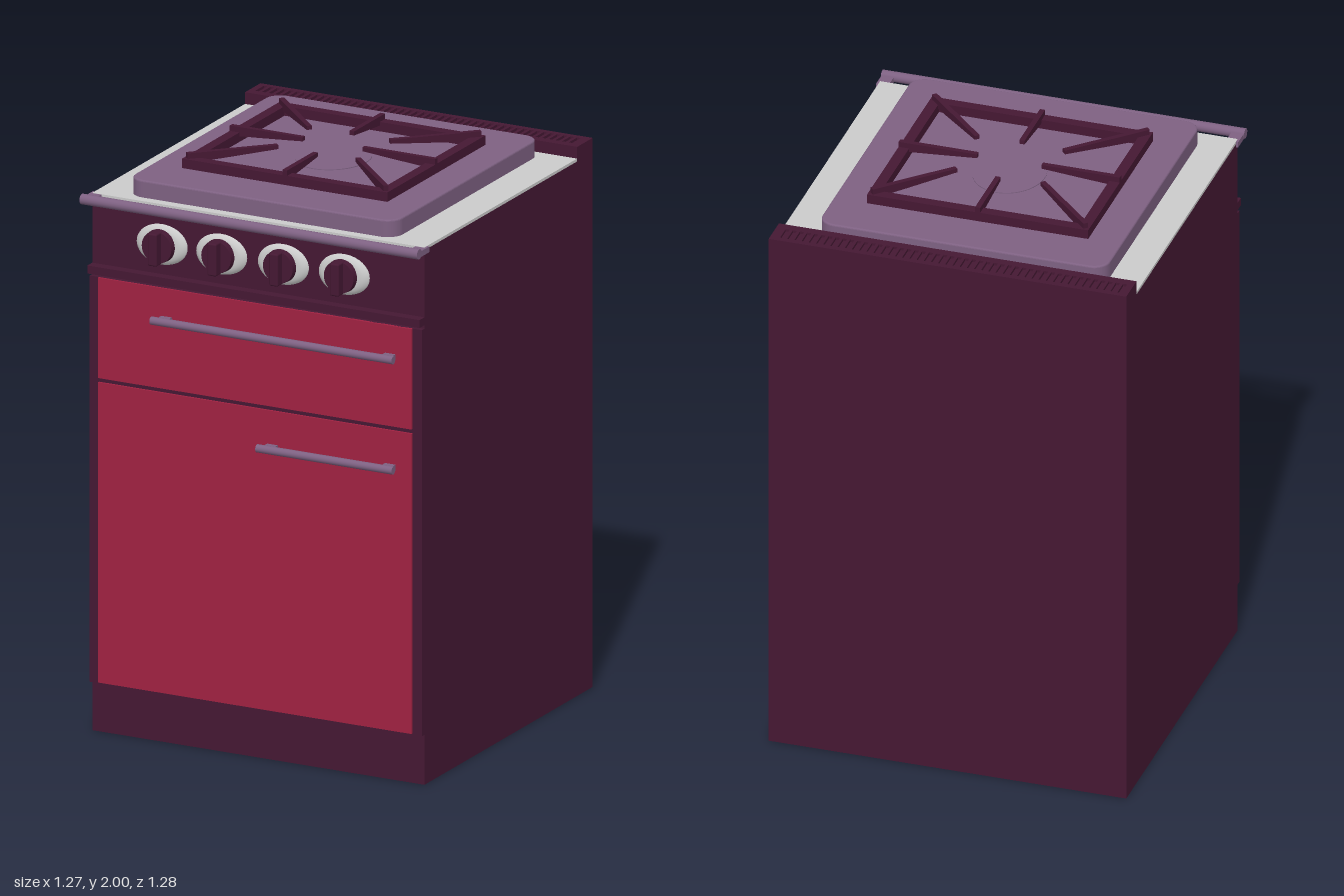
import * as THREE from 'three';
import { RoundedBoxGeometry } from 'three/addons/geometries/RoundedBoxGeometry.js';

const material = (color) => new THREE.MeshStandardMaterial({ color });
const dark = material(0x451833);
const red = material(0xa02141);
const mauve = material(0x7e6182);
const grey = material(0xcccccc);

export function createModel() {
  const model = new THREE.Group();

  const add = (name, geometry, mat, parent = model) => {
    const mesh = new THREE.Mesh(geometry, mat);
    mesh.name = name;
    parent.add(mesh);
    return mesh;
  };
  // Box given by its limits on each axis
  const box = (name, mat, [x0, x1], [y0, y1], [z0, z1], parent) => {
    const mesh = add(name, new THREE.BoxGeometry(x1 - x0, y1 - y0, z1 - z0), mat, parent);
    mesh.position.set((x0 + x1) / 2, (y0 + y1) / 2, (z0 + z1) / 2);
    return mesh;
  };
  // Capped round bar running along x
  const bar = (name, mat, x0, x1, y, z, r, parent) => {
    const mesh = add(name, new THREE.CylinderGeometry(r, r, x1 - x0, 16), mat, parent);
    mesh.rotation.z = Math.PI / 2;
    mesh.position.set((x0 + x1) / 2, y, z);
    return mesh;
  };
  const rectangle = (Type, x0, x1, y0, y1) => new Type([
    [x0, y0], [x1, y0], [x1, y1], [x0, y1],
  ].map(([x, y]) => new THREE.Vector2(x, y)));

  // Cabinet, front frame and worktop
  const wide = [-0.63, 0.625];
  box('cabinet', dark, wide, [0, 1.875], [-0.64, 0.555]);
  box('frontFrame', dark, wide, [0.175, 1.6], [0.55, 0.573]);
  box('fasciaLedge', dark, wide, [1.612, 1.64], [0.55, 0.59]);
  box('worktop', grey, wide, [1.875, 1.885], [-0.53, 0.555]);

  // Rear upstand with a row of vent slots in its top
  box('rearUpstand', dark, wide, [1.87, 1.917], [-0.64, -0.53]);
  const ventShape = rectangle(THREE.Shape, ...wide, 0.53, 0.64);
  for (let i = 0; i < 48; i++) {
    const x = -0.6 + i * 0.0252;
    ventShape.holes.push(rectangle(THREE.Path, x - 0.007, x + 0.007, 0.56, 0.62));
  }
  const vent = add('ventPlate', new THREE.ExtrudeGeometry(ventShape, { depth: 0.01, bevelEnabled: false }), dark);
  vent.rotation.x = -Math.PI / 2;
  vent.position.y = 1.916;

  // Drawer and oven door panels
  box('drawerFront', red, [-0.595, 0.59], [1.248, 1.6], [0.57, 0.581]);
  box('ovenDoor', red, [-0.595, 0.59], [0.18, 1.233], [0.57, 0.581]);

  // Handles on two short stems
  const handle = (name, x0, x1, y) => {
    const group = new THREE.Group();
    group.name = name;
    model.add(group);
    bar('handleBar', mauve, x0, x1, y, 0.625, 0.014, group);
    for (const x of [x0 + 0.035, x1 - 0.035]) {
      box('handleStem', mauve, [x - 0.02, x + 0.02], [y - 0.006, y + 0.006], [0.575, 0.625], group);
    }
  };
  handle('drawerHandle', -0.37, 0.545, 1.497);
  handle('doorHandle', 0.03, 0.545, 1.11);

  // Guard rail along the front edge with its end brackets
  bar('guardRail', mauve, -0.64, 0.635, 1.878, 0.61, 0.018);
  for (const [x0, x1] of [[-0.638, -0.595], [0.59, 0.633]]) {
    box('railBracket', mauve, [x0, x1], [1.864, 1.884], [0.535, 0.61]);
  }

  // Control knobs: domed oval bezel, disc and grip
  const bezelProfile = [[0.096, 0], [0.094, 0.007], [0.08, 0.016], [0.062, 0.021], [0, 0.021]]
    .map(([r, h]) => new THREE.Vector2(r, h));
  for (const x of [-0.365, -0.14, 0.093, 0.323]) {
    const knob = new THREE.Group();
    knob.name = 'controlKnob';
    knob.position.set(x, 1.745, 0.554);
    model.add(knob);
    const bezel = add('knobBezel', new THREE.LatheGeometry(bezelProfile, 40), grey, knob);
    bezel.material = grey.clone();
    bezel.material.side = THREE.DoubleSide;
    bezel.rotation.x = Math.PI / 2;
    bezel.scale.z = 0.74;
    const disc = add('knobDisc', new THREE.CylinderGeometry(0.056, 0.058, 0.024, 32), dark, knob);
    disc.rotation.x = Math.PI / 2;
    disc.position.z = 0.031;
    const grip = add('knobGrip', new RoundedBoxGeometry(0.034, 0.114, 0.056, 2, 0.006), dark, knob);
    grip.position.z = 0.048;
  }

  // Raised hob plate with rounded corners
  const [hx, hz, r] = [0.499, 0.512, 0.05];
  const hobShape = new THREE.Shape();
  [[hx, hz, 0], [-hx, hz, 1], [-hx, -hz, 2], [hx, -hz, 3]].forEach(([x, z, k]) => {
    const start = k * Math.PI / 2;
    hobShape.absarc(x - Math.sign(x) * r, z - Math.sign(z) * r, r, start, start + Math.PI / 2, false);
  });
  const hob = add('hobPlate', new THREE.ExtrudeGeometry(hobShape, {
    depth: 0.054, bevelThickness: 0.006, bevelSize: 0.006, bevelSegments: 3, curveSegments: 8,
  }), mauve);
  hob.rotation.x = -Math.PI / 2;
  hob.position.set(-0.01, 1.885, 0.003);

  // Oval burner cap almost flush with the plate
  const burner = add('burnerCap', new THREE.CylinderGeometry(0.123, 0.123, 0.006, 48), mauve);
  burner.scale.z = 1.17;
  burner.position.set(-0.011, 1.945, 0.003);

  // Pan support: square frame
  const support = new THREE.Group();
  support.name = 'panSupport';
  support.position.set(-0.012, 0, 0.002);
  model.add(support);
  const [sx, sz, w] = [0.388, 0.348, 0.037];
  const rise = [1.948, 1.981];
  for (const s of [-1, 1]) {
    const side = box('supportSideBar', dark, [-w / 2, w / 2], rise, [-sz, sz], support);
    side.position.x = s * (sx - w / 2);
    const cross = box('supportCrossBar', dark, [w - sx, sx - w], rise, [-w / 2, w / 2], support);
    cross.position.z = s * (sz - w / 2);
  }

  // Tapered fingers reaching from the frame towards the burner
  const finger = (x0, z0, x1, z1) => {
    const length = Math.hypot(x1 - x0, z1 - z0);
    const shape = new THREE.Shape([
      [0, 1.965], [length * 0.45, 1.974], [length, 1.986], [length, 2], [0, 2],
    ].map(([d, y]) => new THREE.Vector2(d, y)));
    const geometry = new THREE.ExtrudeGeometry(shape, { depth: 0.018, bevelEnabled: false });
    geometry.translate(0, 0, -0.009);
    const mesh = add('supportFinger', geometry, dark, support);
    mesh.position.set(x0, 0, z0);
    mesh.rotation.y = -Math.atan2(z1 - z0, x1 - x0);
  };
  for (const s of [-1, 1]) {
    finger(s * sx, 0, s * 0.113, 0);
    finger(0, s * sz, 0, s * 0.128);
    for (const t of [-1, 1]) finger(s * (sx - 0.012), t * (sz - 0.012), s * 0.152, t * 0.113);
  }

  return model;
}
